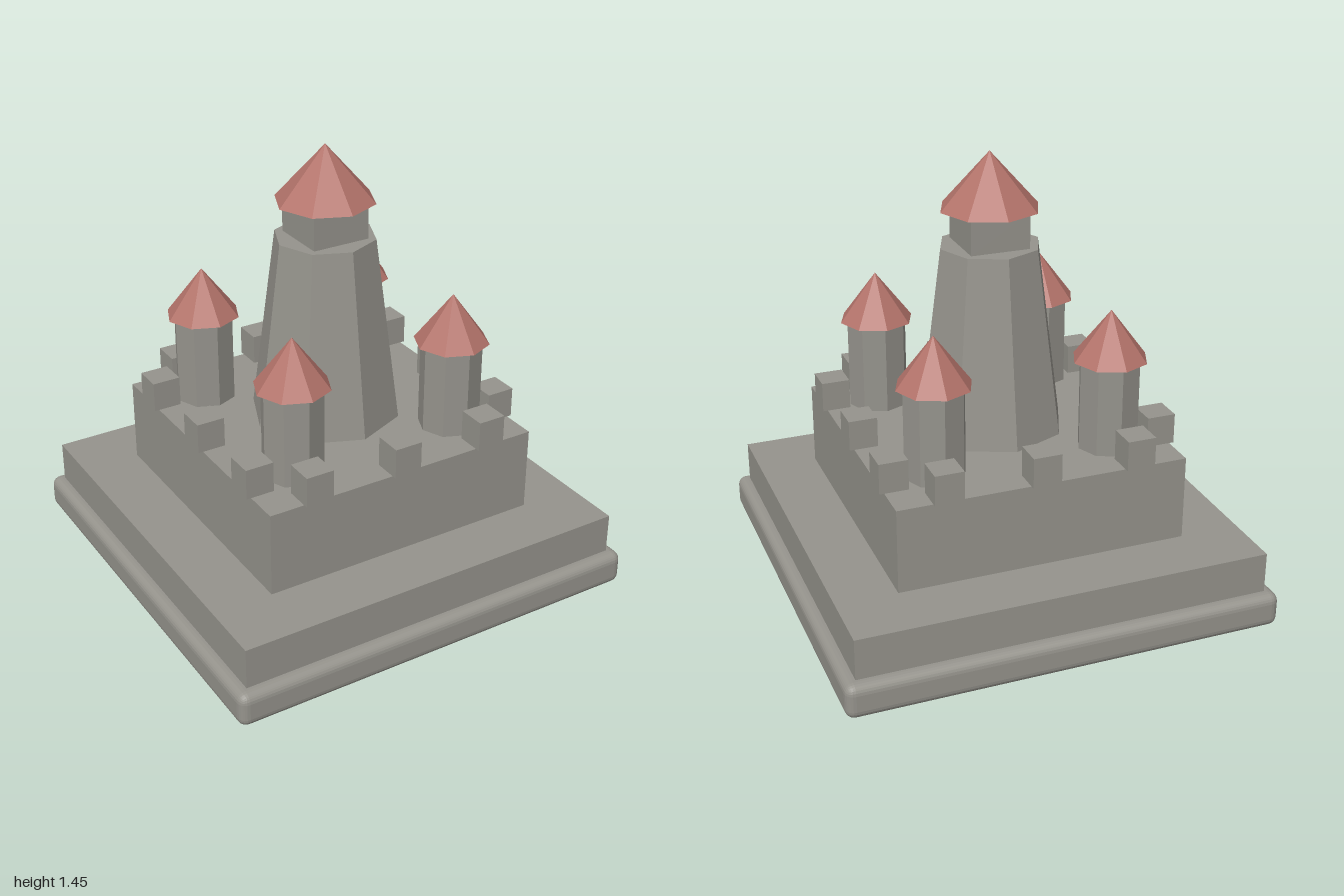
import * as THREE from 'three';
import { RoundedBoxGeometry } from 'three/addons/geometries/RoundedBoxGeometry.js';

export function createModel() {
  const model = new THREE.Group();
  model.name = 'castle';
  const stone = new THREE.MeshStandardMaterial({ color: 0x95938c });
  stone.name = 'stone grey';
  const tile = new THREE.MeshStandardMaterial({ color: 0xb3736a });
  tile.name = 'roof red';
  stone.flatShading = tile.flatShading = true;

  const add = (parent, name, geometry, material, x, y, z) => {
    const mesh = new THREE.Mesh(geometry, material);
    mesh.name = name;
    mesh.position.set(x, y, z);
    parent.add(mesh);
    return mesh;
  };
  // Square block standing on y0
  const block = (parent, name, side, y0, y1, x = 0, z = 0) =>
    add(parent, name, new THREE.BoxGeometry(side, y1 - y0, side), stone, x, (y0 + y1) / 2, z);
  // Eight-sided tower body or roof standing on y0
  const octagon = (name, rTop, rBottom, y0, y1, material, x = 0, z = 0) => {
    const geometry = rTop > 0
      ? new THREE.CylinderGeometry(rTop, rBottom, y1 - y0, 8)
      : new THREE.ConeGeometry(rBottom, y1 - y0, 8);
    return add(model, name, geometry, material, x, (y0 + y1) / 2, z);
  };

  // Everything square is turned so that a corner faces the front
  const square = new THREE.Group();
  square.name = 'fortress';
  square.rotation.y = Math.PI / 4;
  model.add(square);

  // Stepped base and walls
  add(square, 'roundedBase', new RoundedBoxGeometry(1.432, 0.115, 1.432, 3, 0.03), stone, 0, 0.0575, 0);
  block(square, 'terrace', 1.353, 0.11, 0.25);
  block(square, 'walls', 0.957, 0.25, 0.53);

  // Three battlements along each wall, standing slightly proud of it
  for (let side = 0; side < 4; side++) {
    const row = new THREE.Group();
    row.name = 'battlements';
    row.rotation.y = side * Math.PI / 2;
    square.add(row);
    for (const t of [-0.315, 0, 0.315]) block(row, 'battlement', 0.094, 0.53, 0.63, t, 0.447);
  }

  // Tapered keep, square neck and roof
  octagon('keep', 0.165, 0.247, 0.53, 1.15, stone);
  block(square, 'keepNeck', 0.196, 1.15, 1.27);
  octagon('keepRoof', 0, 0.163, 1.267, 1.45, tile);

  // Four corner towers
  for (const [x, z] of [[1, 0], [-1, 0], [0, 1], [0, -1]]) {
    octagon('cornerTower', 0.1, 0.1, 0.53, 0.83, stone, x * 0.413, z * 0.413);
    octagon('cornerRoof', 0, 0.122, 0.828, 0.99, tile, x * 0.413, z * 0.413);
  }
  return model;
}
